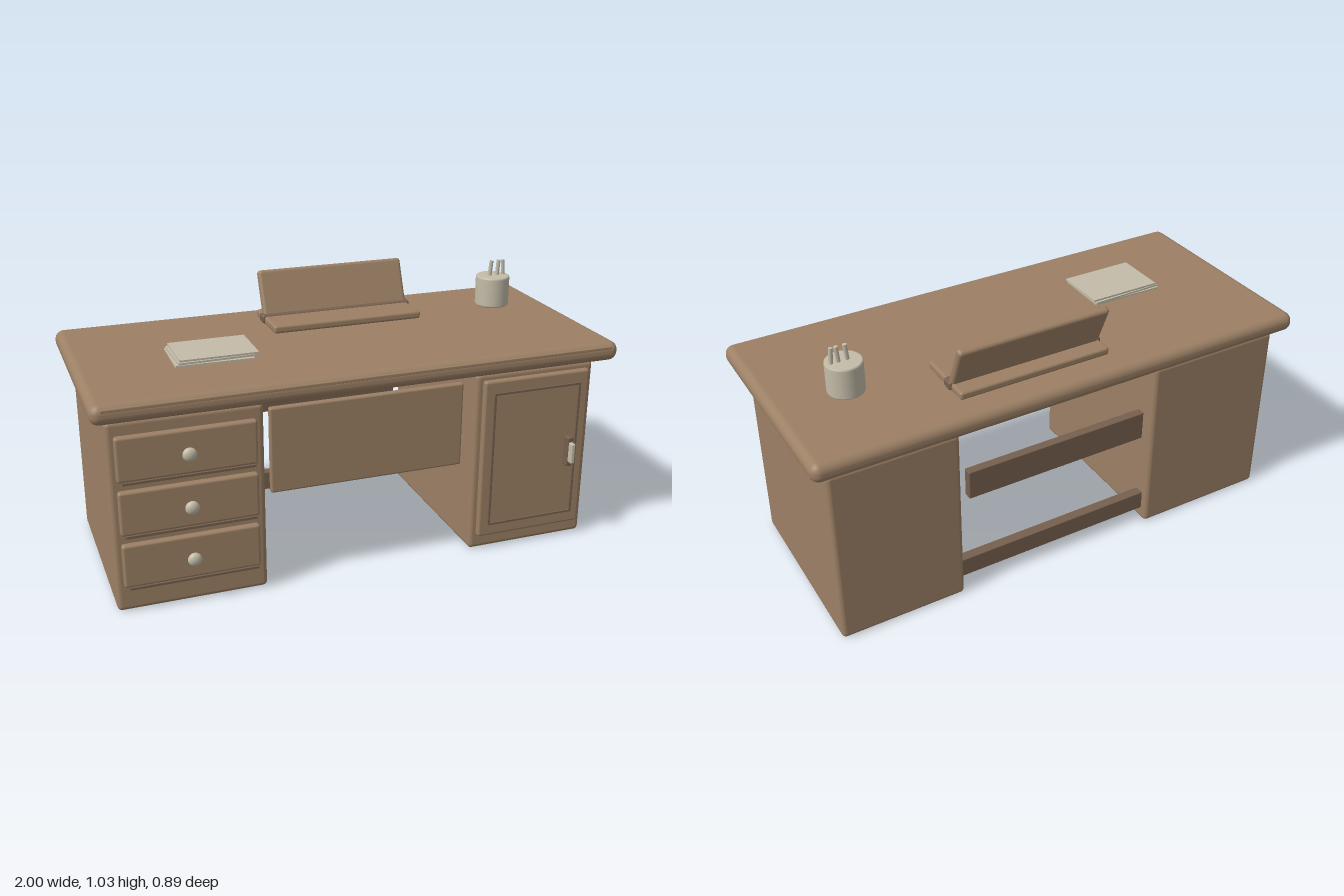
import * as THREE from 'three';
import { RoundedBoxGeometry } from 'three/addons/geometries/RoundedBoxGeometry.js';

const material = (name, color) => Object.assign(new THREE.MeshStandardMaterial({ color }), { name });

export function createModel() {
  const wood = material('wood', 0x9c8065);
  const darkWood = material('dark wood', 0x77604f);
  const cream = material('cream', 0xc3bca8);
  const desk = new THREE.Group();
  desk.name = 'desk';

  const add = (name, geometry, mat, x = 0, y = 0, z = 0, parent = desk) => {
    const mesh = new THREE.Mesh(geometry, mat);
    mesh.name = name;
    mesh.position.set(x, y, z);
    parent.add(mesh);
    return mesh;
  };

  // Box given by its limits on each axis, with optional rounded edges
  const block = (name, mat, [x0, x1], [y0, y1], [z0, z1], r = 0, parent = desk) => {
    const size = [x1 - x0, y1 - y0, z1 - z0];
    const geometry = r ? new RoundedBoxGeometry(...size, 4, r) : new THREE.BoxGeometry(...size);
    return add(name, geometry, mat, (x0 + x1) / 2, (y0 + y1) / 2, (z0 + z1) / 2, parent);
  };

  // Worktop with a thin bead along the front edge
  block('desktop', wood, [-1, 1], [0.755, 0.83], [-0.445, 0.447], 0.034);
  block('frontBead', wood, [-0.965, 0.965], [0.803, 0.817], [0.43, 0.446], 0.004);

  // Pedestals
  block('rightPedestal', wood, [-0.945, -0.385], [0.003, 0.737], [-0.392, 0.365], 0.018);
  block('leftPedestal', wood, [0.443, 0.94], [0.003, 0.737], [-0.392, 0.365], 0.018);

  // Three drawers with shadow strips and round knobs
  for (const y of [0.6, 0.395, 0.19]) {
    const drawer = new THREE.Group();
    drawer.name = 'drawer';
    desk.add(drawer);
    block('drawerFront', wood, [-0.918, -0.415], [y - 0.083, y + 0.085], [0.355, 0.388], 0.01, drawer);
    block('drawerStrip', darkWood, [-0.9, -0.425], [y - 0.092, y - 0.083], [0.36, 0.39], 0, drawer);
    const knob = add('knob', new THREE.SphereGeometry(0.026, 24, 16), cream, -0.666, y, 0.408, drawer);
    knob.scale.z = 0.66;
    const stem = add('knobStem', new THREE.CylinderGeometry(0.01, 0.01, 0.03, 16), cream, -0.666, y, 0.392, drawer);
    stem.rotation.x = Math.PI / 2;
  }

  // Door with an inset frame of thin strips
  const door = new THREE.Group();
  door.name = 'door';
  desk.add(door);
  block('doorPanel', wood, [0.47, 0.915], [0.062, 0.712], [0.357, 0.387], 0.01, door);
  for (const y of [0.115, 0.66])
    block('doorTrim', darkWood, [0.51, 0.875], [y - 0.004, y + 0.004], [0.385, 0.394], 0, door);
  for (const x of [0.512, 0.873])
    block('doorTrim', darkWood, [x - 0.004, x + 0.004], [0.115, 0.66], [0.385, 0.394], 0, door);
  block('handlePlate', darkWood, [0.825, 0.851], [0.325, 0.448], [0.385, 0.416], 0.005, door);
  block('handleGrip', cream, [0.83, 0.847], [0.345, 0.428], [0.412, 0.44], 0.005, door);

  // Knee panel and the two rails at the back
  block('kneePanel', wood, [-0.365, 0.39], [0.382, 0.713], [0.34, 0.367], 0.008);
  block('upperRail', darkWood, [-0.366, 0.397], [0.412, 0.53], [-0.36, -0.325], 0.004);
  block('lowerRail', darkWood, [-0.4, 0.46], [0.056, 0.135], [-0.362, -0.322], 0.004);

  // Reading stand: tray, hinge bar and leaning board
  const stand = new THREE.Group();
  stand.name = 'readingStand';
  desk.add(stand);
  block('standTray', wood, [-0.205, 0.408], [0.83, 0.861], [-0.336, -0.085], 0.01, stand);
  block('standHinge', darkWood, [-0.214, 0.416], [0.833, 0.867], [-0.266, -0.218], 0.009, stand);
  const board = add('standBoard', new RoundedBoxGeometry(0.61, 0.195, 0.034, 4, 0.014), wood, 0.102, 0.933, -0.283, stand);
  board.rotation.x = -0.4;

  // Small stack of papers, each turned a little
  const papers = new THREE.Group();
  papers.name = 'papers';
  desk.add(papers);
  [[-0.507, 0.842, 0.085, -0.02], [-0.5, 0.852, 0.083, 0.025], [-0.493, 0.862, 0.085, 0]].forEach(([x, y, z, turn]) => {
    add('paper', new THREE.BoxGeometry(0.292, 0.007, 0.208), cream, x, y, z, papers).rotation.y = turn;
  });

  // Pen pot with three pens
  const pot = new THREE.Group();
  pot.name = 'penPot';
  pot.position.set(0.734, 0.853, -0.105);
  desk.add(pot);
  const profile = [[0, 0], [0.063, 0], [0.067, 0.003], [0.068, 0.008], [0.068, 0.115], [0.067, 0.12], [0.063, 0.123], [0, 0.123]];
  add('pot', new THREE.LatheGeometry(profile.map(([r, y]) => new THREE.Vector2(r, y)), 40), cream, 0, 0, 0, pot);
  [[-0.013, -0.1], [0.02, -0.08], [0.045, 0.06]].forEach(([x, lean]) => {
    add('pen', new THREE.CylinderGeometry(0.008, 0.008, 0.09, 12), cream, x, 0.138, 0, pot).rotation.z = lean;
  });

  return desk;
}
